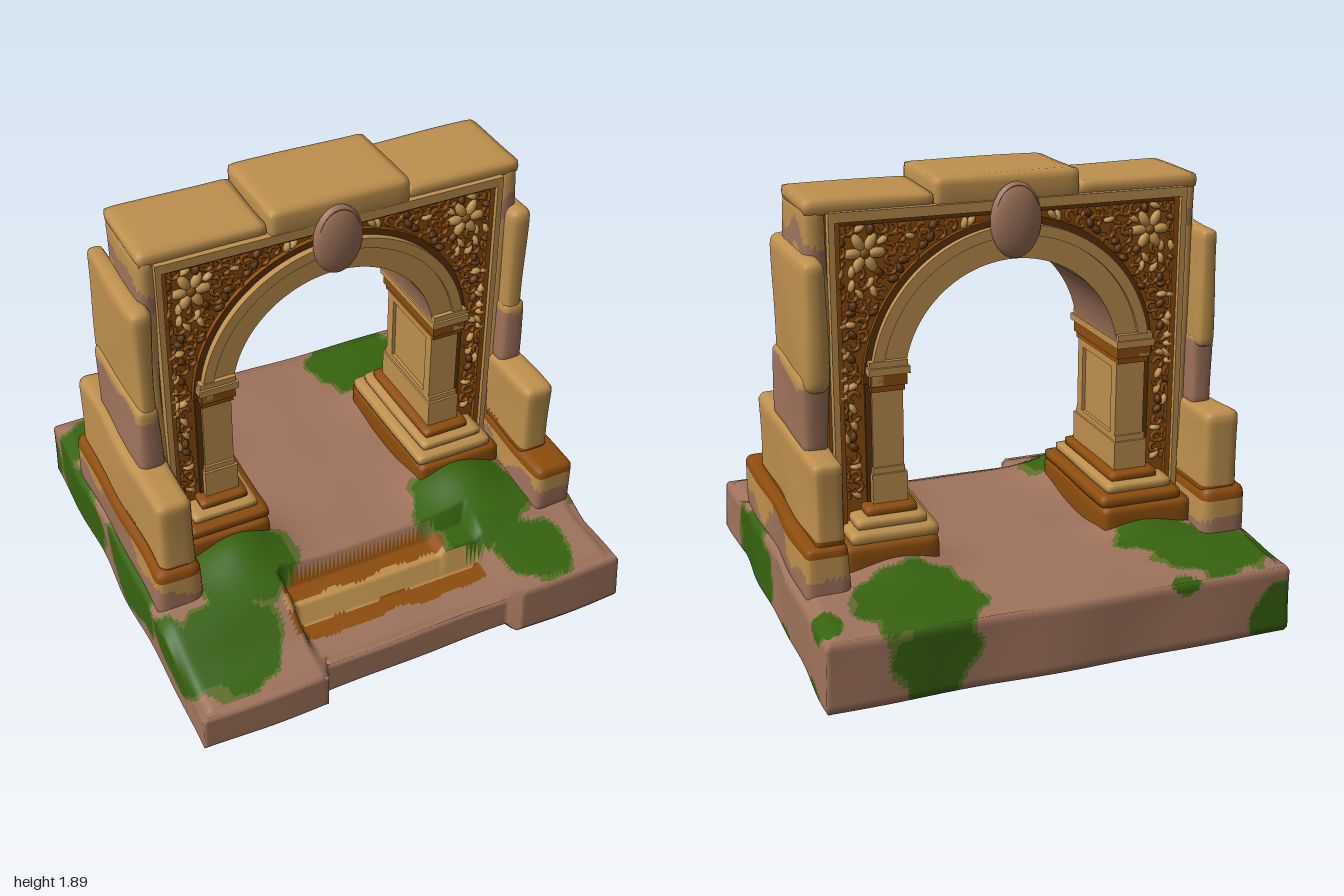
import * as THREE from 'three';
import { mergeVertices, mergeGeometries } from 'three/addons/utils/BufferGeometryUtils.js';

const mat = (name, color) => {
  const m = new THREE.MeshStandardMaterial({ color });
  m.name = name;
  return m;
};
const tan = mat('sandstone', 0xbe904e);
const stone = mat('weatheredStone', 0x9f735c);
const brown = mat('rustyStone', 0x8d4d0d);
const moss = mat('moss', 0x37630f);
const olive = mat('paleMoss', 0x5d6f2b);
const dark = mat('deepShade', 0x5c3209);

const ZC = -0.1; // middle of the wall thickness
const CY = 1.08; // springing height of the arch

const wave = (x, y, z) =>
  (Math.sin(9 * x + 4 * y + 1) + Math.sin(8 * y - 7 * z + 2) + Math.sin(11 * z + 5 * x)) / 3;
const fine = (x, y, z) => Math.sin(31 * x + 9 * z + 8 * y) * Math.sin(27 * z - 8 * x + 23 * y);

// Sorts triangles into material groups by their centre point
function paint(geo, mats, pick) {
  const p = geo.attributes.position, idx = geo.index.array;
  const bins = mats.map(() => []);
  for (let i = 0; i < idx.length; i += 3) {
    const t = [idx[i], idx[i + 1], idx[i + 2]];
    const c = ['getX', 'getY', 'getZ'].map(g => (p[g](t[0]) + p[g](t[1]) + p[g](t[2])) / 3);
    bins[mats.indexOf(pick(...c))].push(...t);
  }
  geo.setIndex(bins.flat());
  geo.clearGroups();
  let start = 0;
  bins.forEach((b, i) => { geo.addGroup(start, b.length, i); start += b.length; });
  return geo;
}

// Finely divided box whose vertices are moved by a rule, with smooth normals
function mouldedBox([x0, x1], [y0, y1], [z0, z1], seg, rule) {
  const n = d => Math.max(2, Math.ceil(d / seg));
  let g = new THREE.BoxGeometry(x1 - x0, y1 - y0, z1 - z0, n(x1 - x0), n(y1 - y0), n(z1 - z0));
  g.translate((x0 + x1) / 2, (y0 + y1) / 2, (z0 + z1) / 2);
  g.deleteAttribute('uv');
  g.deleteAttribute('normal');
  g = mergeVertices(g);
  const p = g.attributes.position, v = new THREE.Vector3();
  for (let i = 0; i < p.count; i++) {
    v.fromBufferAttribute(p, i);
    rule(v);
    p.setXYZ(i, v.x, v.y, v.z);
  }
  g.computeVertexNormals();
  return g;
}

// Worn block with rounded edges
function worn(xs, ys, zs, r = 0.03, amp = 0.01, seg = 0.035) {
  const lo = new THREE.Vector3(xs[0] + r, ys[0] + r, zs[0] + r);
  const hi = new THREE.Vector3(xs[1] - r, ys[1] - r, zs[1] - r);
  return mouldedBox(xs, ys, zs, seg, v => {
    const inner = v.clone().clamp(lo, hi);
    const d = v.clone().sub(inner).normalize();
    v.copy(inner).addScaledVector(d, r + amp * wave(v.x, v.y, v.z));
  });
}

// Moss patches as ellipsoids: centre, then radii
const PATCHES = [
  [-0.74, 0.3, -0.72, 0.25, 0.2, 0.2], [-0.58, 0.35, -0.52, 0.2, 0.2, 0.14],
  [0.55, 0.25, -0.72, 0.25, 0.4, 0.28], [-0.5, 0.33, -0.93, 0.07, 0.07, 0.05],
  [0.94, 0.33, -0.8, 0.06, 0.1, 0.1], [-0.58, 0.38, 0.37, 0.26, 0.2, 0.2],
  [-0.75, 0.28, 0.68, 0.23, 0.15, 0.24], [0.52, 0.38, 0.42, 0.27, 0.2, 0.25],
  [0.66, 0.25, 0.74, 0.16, 0.12, 0.18], [0.99, 0.08, 0.32, 0.12, 0.27, 0.34],
  [0.99, 0, -0.28, 0.08, 0.07, 0.1], [0.99, 0, -0.76, 0.1, 0.08, 0.1],
  [-0.98, 0.22, 0.1, 0.09, 0.16, 0.28], [-0.98, 0.15, -0.55, 0.09, 0.18, 0.3],
  [-0.98, 0.25, 0.62, 0.1, 0.15, 0.2], [-0.95, 0.1, -0.95, 0.14, 0.16, 0.1],
];
function mossAt(x, y, z) {
  let f = 9;
  for (const [a, b, c, ra, rb, rc] of PATCHES) {
    f = Math.min(f, Math.hypot((x - a) / ra, (y - b) / rb, (z - c) / rc));
  }
  f += 0.12 * wave(2 * x, 2 * y, 2 * z) + 0.1 * fine(x, y, z);
  return f < 0.97 ? moss : f < 1.05 ? olive : null;
}

// Ground height with steps, front corner blocks and mossy mounds
function ground(x, z) {
  const bump = (c, s) => Math.exp(-(((c) / s) ** 2));
  const mound = 0.1 * bump(Math.abs(x) - 0.55, 0.2) * (bump(z - 0.27, 0.2) + 0.6 * bump(z + 0.42, 0.13));
  if (x > -0.44 && x < 0.47) {
    if (z > 0.62) return 0.17;
    if (z > 0.46) return x > 0.3 ? 0.28 : 0.25;
  }
  const end = x < 0 ? 0.19 : 0.27;
  const t = THREE.MathUtils.smoothstep(z, 0.5, x < 0 ? 0.86 : 0.7);
  return 0.33 + mound * (1 - t) + (end - 0.33) * t;
}

export function createModel() {
  const root = new THREE.Group();
  const add = (name, geo, m, parent = root) => {
    const mesh = new THREE.Mesh(geo, m);
    mesh.name = name;
    parent.add(mesh);
    return mesh;
  };
  const box = (name, xs, y0, y1, half, m) => {
    const g = new THREE.BoxGeometry(Math.abs(xs[1] - xs[0]), y1 - y0, half * 2);
    return add(name, g.translate((xs[0] + xs[1]) / 2, (y0 + y1) / 2, ZC), m);
  };

  // Base with steps and moss
  const base = mouldedBox([-0.985, 0.985], [0, 0.33], [-0.94, 0.935], 0.02, v => {
    const t = v.y / 0.33, w = wave(v.x, v.y, v.z);
    const edge = Math.max(Math.abs(v.x) - 0.96, Math.abs(v.z) - 0.91, 0) / 0.025;
    const h = ground(v.x, v.z);
    const inset = 1 - 0.025 * Math.max(0, Math.abs(t - 0.5) * 2 - 0.8) * 5;
    v.y = t * h + (t > 0.99 ? 0.006 * w - 0.02 * Math.min(edge, 1) : 0) + (t < 0.01 ? 0.015 * Math.min(edge, 1) : 0);
    if (v.x > -0.41 && v.x < 0.47 && v.z > 0.7) v.z = 0.7 + (v.z - 0.7) * 0.74;
    v.x *= inset * (1 + 0.014 * w);
    v.z *= inset * (1 + 0.012 * w);
  });
  const baseMats = [stone, moss, olive, tan, brown];
  add('base', paint(base, baseMats, (x, y, z) => {
    if (y < 0.012) return wave(1.3 * x + 0.5, 0, 1.2 * z) + 0.2 * fine(x, 0, z) > -0.1 ? moss : stone;
    const m = mossAt(x, y, z);
    if (m) return m;
    if (x > -0.46 && x < 0.46 && y > 0.155 && z > 0.455) {
      const s = z + 0.025 * wave(3 * x, 0, z);
      return s < 0.55 ? brown : s < 0.63 ? tan : s < 0.72 ? brown : stone;
    }
    return stone;
  }), baseMats);

  // Wall core with arched opening
  const wall = new THREE.Shape();
  wall.moveTo(-0.78, 0.32).lineTo(-0.5, 0.32).lineTo(-0.5, CY);
  wall.absarc(0, CY, 0.5, Math.PI, 0, true);
  wall.lineTo(0.5, 0.32).lineTo(0.78, 0.32).lineTo(0.78, 1.8).lineTo(-0.78, 1.8);
  const core = new THREE.ExtrudeGeometry(wall, { depth: 0.36, bevelEnabled: false, curveSegments: 40 });
  add('wallCore', core.translate(0, 0, ZC - 0.18), [brown, stone]);

  // Arch mouldings
  const ring = (name, r0, r1, half, mats) => {
    const s = new THREE.Shape();
    s.absarc(0, CY, r1, 0, Math.PI, false);
    s.absarc(0, CY, r0, Math.PI, 0, true);
    const g = new THREE.ExtrudeGeometry(s, { depth: half * 2, bevelEnabled: false, curveSegments: 40 });
    add(name, g.translate(0, 0, ZC - half), mats);
  };
  ring('archBand', 0.465, 0.565, 0.215, [tan, stone]);
  ring('archOuterBand', 0.56, 0.605, 0.23, [tan, tan]);
  ring('archShadowLine', 0.6, 0.632, 0.2, [dark, brown]);

  // Keystone
  const key = new THREE.CylinderGeometry(0.095, 0.095, 0.5, 28).rotateX(Math.PI / 2).scale(1, 1.45, 1);
  add('keystoneCore', key.translate(0, 1.71, ZC), brown);
  for (const s of [-1, 1]) {
    const oval = new THREE.SphereGeometry(1, 28, 16).scale(0.108, 0.155, 0.045);
    add('keystoneFace', oval.translate(0, 1.705, ZC + s * 0.23), stone);
  }

  // Top slabs
  add('topSlabRight', worn([-0.82, -0.28], [1.77, 1.835], [-0.3, 0.1], 0.02, 0.006), tan);
  add('topSlabLeft', worn([0.32, 0.85], [1.77, 1.835], [-0.3, 0.1], 0.02, 0.006), tan);
  add('topSlabMiddle', worn([-0.285, 0.33], [1.76, 1.89], [-0.31, 0.12], 0.02, 0.004), tan);
  box('frameTop', [-0.755, 0.755], 1.745, 1.785, 0.22, tan);
  box('frameTopGroove', [-0.72, 0.72], 1.725, 1.746, 0.195, dark);

  // Piers and frame, mirrored
  for (const s of [-1, 1]) {
    const b = (name, a, c, y0, y1, half, m) => box(name, [s * a, s * c], y0, y1, half, m);
    b('frameSide', 0.735, 0.76, 0.4, 1.785, 0.22, tan);
    b('frameGroove', 0.712, 0.736, 0.4, 1.745, 0.2, brown);
    b('pilaster', 0.485, 0.6, 0.5, 1.1, 0.2, tan);
    b('pilasterShadow', 0.6, 0.625, 0.5, 1.1, 0.19, dark);
    b('pilasterFoot', 0.462, 0.61, 0.56, 0.7, 0.22, tan);
    b('pilasterFootCap', 0.47, 0.605, 0.7, 0.725, 0.21, tan);
    b('pilasterPanelTop', 0.47, 0.49, 1.02, 1.06, 0.2, tan);
    for (const e of [-1, 1]) {
      const strip = new THREE.BoxGeometry(0.02, 0.34, 0.05).translate(s * 0.48, 0.88, ZC + e * 0.175);
      add('pilasterPanelEdge', strip, tan);
    }
    b('capitalNeck', 0.468, 0.605, 1.05, 1.075, 0.22, brown);
    b('capitalMoulding', 0.46, 0.612, 1.075, 1.125, 0.23, brown);
    b('capitalTop', 0.45, 0.622, 1.125, 1.155, 0.245, tan);
    b('capitalCrown', 0.458, 0.615, 1.155, 1.18, 0.235, tan);
    const px = (a, c) => (s > 0 ? [a, c] : [-c, -a]);
    const pz = h => [ZC - h, ZC + h];
    add('pedestalFoot', worn(px(0.365, 0.77), [0.3, 0.455], pz(0.345), 0.02, 0.008), brown);
    add('pedestalStep', worn(px(0.36, 0.735), [0.445, 0.5], pz(0.33), 0.02, 0.004), [tan, brown][s > 0 ? 0 : 1]);
    add('pedestalMiddle', worn(px(0.4, 0.7), [0.495, 0.54], pz(0.295), 0.015, 0.004), tan);
    add('pedestalTop', worn(px(0.43, 0.65), [0.53, 0.575], pz(0.26), 0.015, 0.003), brown);

    // Side post and stacked outer blocks
    const blocks = [
      ['sidePost', [0.762, s > 0 ? 0.848 : 0.82], [0.35, 1.81], [-0.295, 0.1]],
      ['upperSlab', [0.795, 0.885], [1.1, 1.62], [-0.405, 0.165]],
      ['middleSlab', [0.79, 0.9], [0.83, 1.16], [-0.375, 0.17]],
      ['lowerSlab', [0.775, s > 0 ? 0.915 : 0.93], [0.49, 0.865], [-0.55, 0.42]],
      ['footBlock', [0.77, 0.96], [0.28, 0.53], [-0.57, s > 0 ? 0.57 : 0.44]],
    ];
    for (const [name, xs, ys, zs] of blocks) {
      const g = worn(px(...xs), ys, zs, 0.035, 0.014, 0.025);
      const mats = [tan, stone, brown];
      add(name, paint(g, mats, (x, y, z) => {
        const w = 0.04 * wave(2 * x, y, 2 * z);
        if (name === 'footBlock') return y > 0.48 ? brown : y + 2 * w > 0.4 && Math.abs(z - ZC) > 0.14 ? tan : stone;
        if (name === 'lowerSlab') return y + w * 0.3 < 0.54 ? brown : tan;
        if (name === 'middleSlab') return y + w < 1.12 && y > 0.86 ? stone : tan;
        return name === 'sidePost' && y + 2 * w > 1.58 && y + 2 * w < 1.68 ? stone : tan;
      }), mats);
    }
  }

  // Carved foliage on both faces of the wall
  let seed = 7;
  const rnd = () => (seed = (seed * 16807) % 2147483647) / 2147483647;
  const carve = { tan: [], brown: [], dark: [] };
  const leaf = (set, x, y, l, w, a) =>
    carve[set].push(new THREE.SphereGeometry(1, 8, 5).scale(l, w, 0.022).rotateZ(a).translate(x, y, 0.182));
  for (let y = 0.6; y < 1.72; y += 0.042) {
    for (let x = 0.03; x < 0.71; x += 0.042) {
      const px = x + 0.02 * rnd(), py = y + 0.02 * rnd(), a = rnd() * 6.28, k = rnd();
      if (y < CY + 0.1 ? px < 0.645 : Math.hypot(px, py - CY) < 0.645) continue;
      if (px < 0.13 || Math.hypot(px - 0.61, py - 1.61) < 0.08) continue;
      if (k < (y < 1.15 ? 0.5 : 0.22)) leaf('tan', px, py, 0.027, 0.014, a);
      else if (k < 0.8) carve.brown.push(new THREE.TorusGeometry(0.021, 0.009, 5, 9, 4.6).rotateZ(a).translate(px, py, 0.185));
      else leaf('dark', px, py, 0.024, 0.016, a);
    }
  }
  // Corner flower
  for (let i = 0; i < 6; i++) {
    const a = i * Math.PI / 3;
    leaf('tan', 0.61 + 0.05 * Math.cos(a), 1.61 + 0.05 * Math.sin(a), 0.04, 0.022, a);
  }
  leaf('brown', 0.61, 1.61, 0.024, 0.024, 0);
  const mats = { tan, brown, dark };
  for (const set in carve) {
    const half = mergeGeometries(carve[set]);
    for (const sx of [-1, 1]) {
      for (const turn of [0, Math.PI]) {
        const g = half.clone();
        if (sx < 0) {
          g.scale(-1, 1, 1);
          const ix = g.index.array;
          for (let i = 0; i < ix.length; i += 3) [ix[i], ix[i + 1]] = [ix[i + 1], ix[i]];
        }
        add('carvedFoliage', g.rotateY(turn).translate(0, 0, ZC), mats[set]);
      }
    }
  }
  return root;
}
